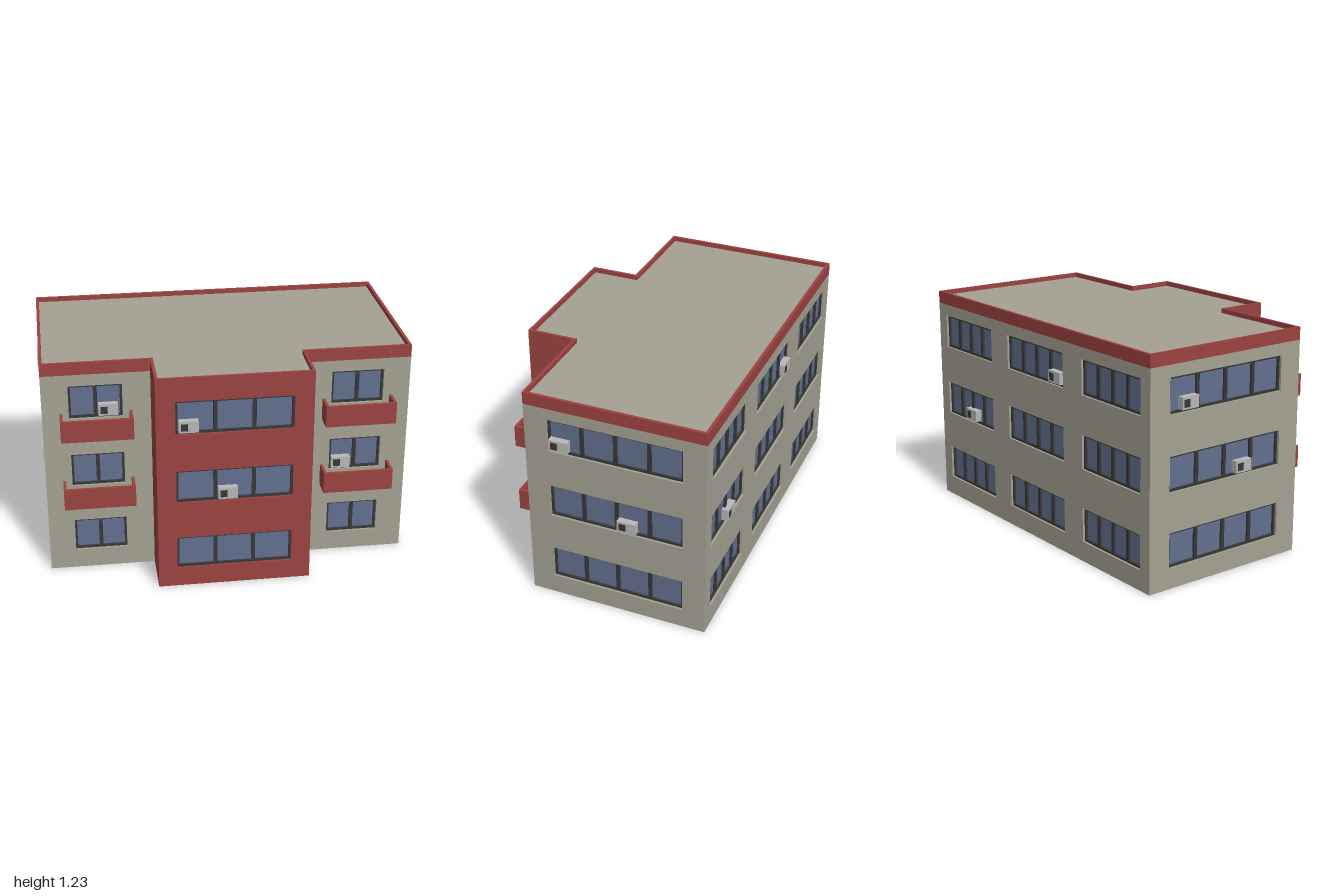
import * as THREE from 'three';

const paint = (color, side = THREE.FrontSide) => new THREE.MeshStandardMaterial({ color, side, roughness: 0.9 });
const PLASTER = paint(0xa5a293, THREE.DoubleSide);
const RED = paint(0x9c4340, THREE.DoubleSide);
const GLASS = paint(0x62708f, THREE.DoubleSide);
const FRAME = paint(0x383838);
const METAL = paint(0xb8b8b8);

// Main dimensions
const LEFT = -0.988, RIGHT = 0.985, BACK = -0.625, WING = 0.362, FRONT = 0.626;
const BAY_L = -0.414, BAY_R = 0.411;
const BAND = 1.162, TOP = 1.23, DECK = 1.205;
const FLOORS = [0.11, 0.51, 0.91], WIN_H = 0.188, RECESS = 0.027, RIM = 0.016;

const points = (list) => list.map(([x, y]) => new THREE.Vector2(x, y));
const rect = (x0, y0, x1, y1) => points([[x0, y0], [x1, y0], [x1, y1], [x0, y1]]);
const holed = (outer, holes) => {
  const shape = new THREE.Shape(outer);
  shape.holes = holes.map((h) => new THREE.Path(h));
  return shape;
};

function add(parent, name, geometry, material, x = 0, y = 0, z = 0) {
  const mesh = new THREE.Mesh(geometry, material);
  mesh.name = name;
  mesh.position.set(x, y, z);
  parent.add(mesh);
  return mesh;
}
const extrude = (shape, depth) => new THREE.ExtrudeGeometry(shape, { depth, bevelEnabled: false });

// Recessed window: reveal, dark frame with n panes, glass; origin at bottom centre
function makeWindow(w, n, wallMaterial) {
  const g = new THREE.Group();
  g.name = 'window';
  const h = WIN_H, t = 0.012, bar = 0.02, lip = 0.003;
  const reveal = holed(rect(-w / 2 - lip, -lip, w / 2 + lip, h + lip), [rect(-w / 2, 0, w / 2, h)]);
  add(g, 'windowReveal', extrude(reveal, RECESS - 0.0005), wallMaterial, 0, 0, -RECESS);

  const pane = (w - 2 * t - (n - 1) * bar) / n;
  const panes = [];
  for (let i = 0; i < n; i++) {
    const x = -w / 2 + t + i * (pane + bar);
    panes.push(rect(x, t, x + pane, h - t));
  }
  add(g, 'windowFrame', extrude(holed(rect(-w / 2, 0, w / 2, h), panes), 0.014), FRAME, 0, 0, -RECESS);
  add(g, 'windowGlass', new THREE.PlaneGeometry(w - t, h - t), GLASS, 0, h / 2, -RECESS + 0.002);
  return g;
}

// Air conditioner standing on the window frame, with a dark fan grille
function makeAirConditioner() {
  const g = new THREE.Group();
  g.name = 'airConditioner';
  const depth = RECESS + 0.012;
  add(g, 'unitCase', new THREE.BoxGeometry(0.104, 0.064, depth), METAL, 0, 0.032, 0.012 - depth / 2);
  add(g, 'unitGrille', new THREE.BoxGeometry(0.038, 0.041, 0.002), FRAME, -0.022, 0.031, 0.0115);
  return g;
}

// Wall seen from outside: x runs to the viewer's right, z points outward
function makeWall(parent, name, x0, x1, height, material, windows = [], units = []) {
  const g = new THREE.Group();
  g.name = name;
  const holes = [];
  for (const y of FLOORS) {
    for (const [x, w, n] of windows) {
      holes.push(rect(x - w / 2, y, x + w / 2, y + WIN_H));
      const win = makeWindow(w, n, material);
      win.position.set(x, y, 0);
      g.add(win);
    }
  }
  for (const [x, floor] of units) {
    const unit = makeAirConditioner();
    unit.position.set(x, FLOORS[floor] + 0.015, 0);
    g.add(unit);
  }
  add(g, name + 'Surface', new THREE.ShapeGeometry(holed(rect(x0, 0, x1, height), holes)), material);
  parent.add(g);
  return g;
}

// Balcony: low red parapet on three sides around a floor slab
function makeBalcony() {
  const g = new THREE.Group();
  g.name = 'balcony';
  const w = 0.383, d = 0.11, h = 0.12, t = 0.015;
  add(g, 'balconyFront', new THREE.BoxGeometry(w, h, t), RED, 0, h / 2, d - t / 2);
  for (const s of [-1, 1]) {
    add(g, 'balconySide', new THREE.BoxGeometry(t, h, d - t), RED, s * (w - t) / 2, h / 2, (d - t) / 2);
  }
  add(g, 'balconyFloor', new THREE.BoxGeometry(w - 2 * t, 0.02, d - t), PLASTER, 0, 0.01, (d - t) / 2);
  return g;
}

// Building outline in plan (y = -z), inset by i
const outline = (i) => points([
  [LEFT + i, -WING + i], [BAY_L + i, -WING + i], [BAY_L + i, -FRONT + i], [BAY_R - i, -FRONT + i],
  [BAY_R - i, -WING + i], [RIGHT - i, -WING + i], [RIGHT - i, -BACK - i], [LEFT + i, -BACK - i],
]);

export function createModel() {
  const model = new THREE.Group();
  model.name = 'apartmentBuilding';

  // Front walls: two wings and the projecting bay
  makeWall(model, 'leftHandWing', LEFT, BAY_L, BAND, PLASTER, [[-0.705, 0.283, 2]], [[-0.64, 2]])
    .position.z = WING;
  makeWall(model, 'rightHandWing', BAY_R, RIGHT, BAND, PLASTER, [[0.7, 0.283, 2]], [[0.621, 1]])
    .position.z = WING;
  makeWall(model, 'bayFront', BAY_L, BAY_R, BAND, RED, [[-0.002, 0.62, 3]], [[-0.245, 2], [-0.04, 1]])
    .position.z = FRONT;

  // Bay returns
  const bayRight = makeWall(model, 'bayReturn', -FRONT, -WING, BAND, RED);
  bayRight.rotation.y = Math.PI / 2;
  bayRight.position.x = BAY_R;
  const bayLeft = makeWall(model, 'bayReturn', WING, FRONT, BAND, RED);
  bayLeft.rotation.y = -Math.PI / 2;
  bayLeft.position.x = BAY_L;

  // End walls
  const endRight = makeWall(model, 'endWall', -WING, -BACK, BAND, PLASTER,
    [[0.132, 0.735, 4]], [[-0.172, 2], [0.195, 1]]);
  endRight.rotation.y = Math.PI / 2;
  endRight.position.x = RIGHT;
  const endLeft = makeWall(model, 'endWall', BACK, WING, BAND, PLASTER,
    [[-0.132, 0.735, 4]], [[-0.38, 2], [-0.018, 1]]);
  endLeft.rotation.y = -Math.PI / 2;
  endLeft.position.x = LEFT;

  // Back wall
  const back = makeWall(model, 'backWall', -RIGHT, -LEFT, BAND, PLASTER,
    [[-0.667, 0.485, 4], [0.002, 0.525, 4], [0.671, 0.485, 4]], [[-0.648, 1], [0.2, 2]]);
  back.rotation.y = Math.PI;
  back.position.z = BACK;

  // Balconies on the two upper floors
  for (const x of [-0.705, 0.701]) {
    for (const y of [0.425, 0.825]) {
      const balcony = makeBalcony();
      balcony.position.set(x, y, WING);
      model.add(balcony);
    }
  }

  // Red roof band with raised rim, and the roof deck inside it
  const rim = holed(outline(0), [outline(RIM)]);
  add(model, 'roofBand', extrude(rim, TOP - BAND), RED, 0, BAND, 0).rotation.x = -Math.PI / 2;
  add(model, 'roofDeck', new THREE.ShapeGeometry(new THREE.Shape(outline(RIM))), PLASTER, 0, DECK, 0)
    .rotation.x = -Math.PI / 2;

  return model;
}
